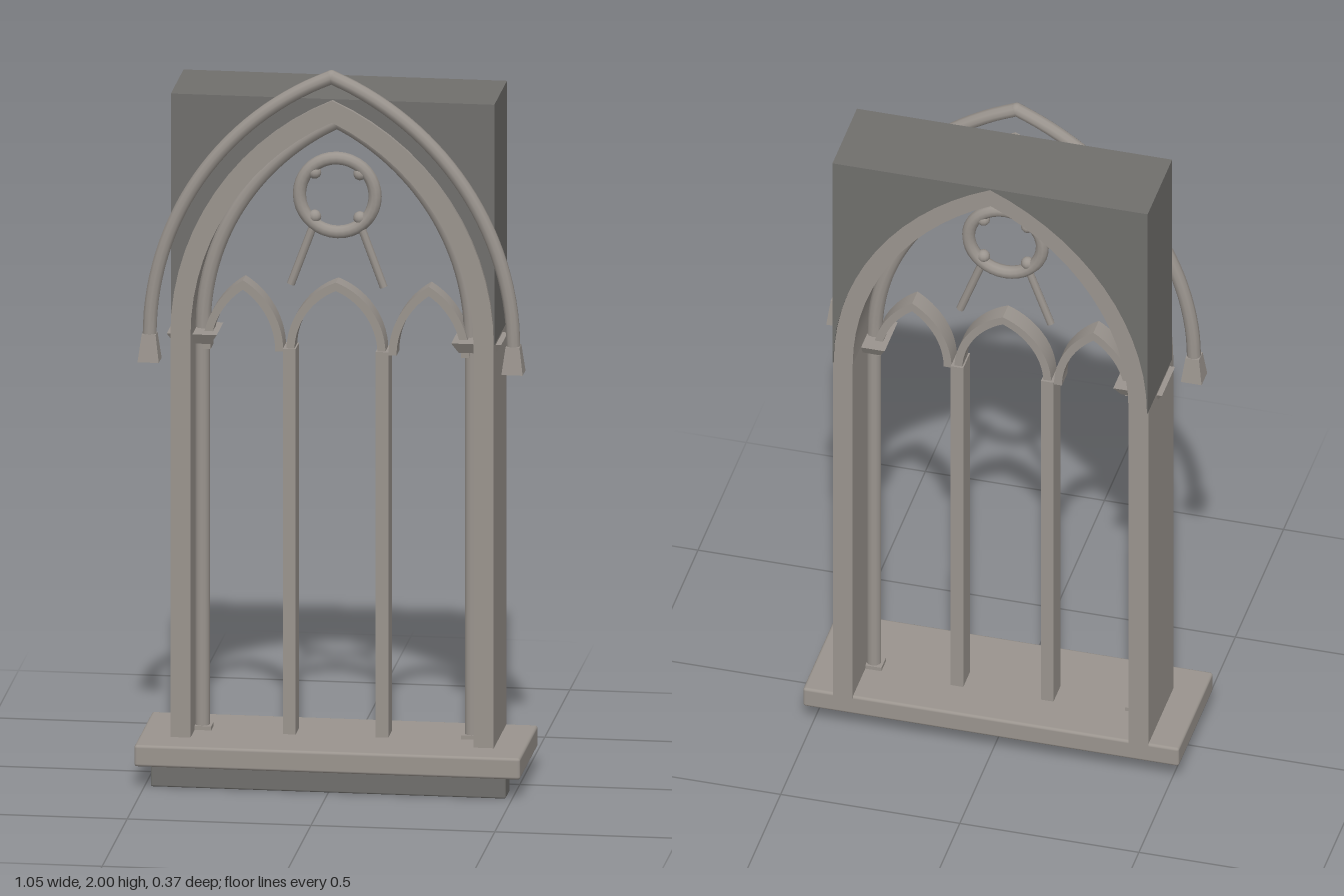
import * as THREE from 'three';
import { toCreasedNormals } from 'three/addons/utils/BufferGeometryUtils.js';
import { RoundedBoxGeometry } from 'three/addons/geometries/RoundedBoxGeometry.js';

const SPRING = 1.24;   // height where the main arch begins
const MID_Z = -0.026;  // plane of the tracery and shafts

const stone = new THREE.MeshStandardMaterial({ color: 0x9a948e });
const darkStone = new THREE.MeshStandardMaterial({ color: 0x706f6c });

// Pointed arch: two arcs of radius r, centres offset by c across the axis.
// Runs from the right foot over the apex to the left foot.
function archPoints(r, c, x0, y0, n = 14) {
  const end = Math.acos(c / r);
  const half = [];
  for (let i = 0; i <= n; i++) {
    const a = (end * i) / n;
    half.push([r * Math.cos(a) - c, r * Math.sin(a)]);
  }
  const left = half.slice(0, -1).reverse().map(([x, y]) => [-x, y]);
  return half.concat(left).map(([x, y]) => new THREE.Vector2(x0 + x, y0 + y));
}

function extrude(points, z0, z1) {
  const geo = new THREE.ExtrudeGeometry(new THREE.Shape(points), { depth: z1 - z0, bevelEnabled: false });
  geo.translate(0, 0, z0);
  return toCreasedNormals(geo, 0.4);
}

// Concentric arched band of the given thickness
function archBand(r, c, thick, x0, y0, z0, z1) {
  const outer = archPoints(r, c, x0, y0);
  const inner = archPoints(r - thick, c, x0, y0).reverse();
  return extrude(outer.concat(inner), z0, z1);
}

export function createModel() {
  const group = new THREE.Group();
  const add = (name, geo, x = 0, y = 0, z = 0, mat = stone) => {
    const mesh = new THREE.Mesh(geo, mat);
    mesh.name = name;
    mesh.position.set(x, y, z);
    group.add(mesh);
    return mesh;
  };
  const box = (w, h, d) => new THREE.BoxGeometry(w, h, d);

  // Round moulding following a pointed arch, one tube per side
  const archRoll = (name, r, c, y0, z, radius) => {
    const pts = archPoints(r, c, 0, y0).map((p) => new THREE.Vector3(p.x, p.y, z));
    const mid = (pts.length - 1) / 2;
    [pts.slice(0, mid + 1), pts.slice(mid)].forEach((side) =>
      add(name, new THREE.TubeGeometry(new THREE.CatmullRomCurve3(side), 28, radius, 10)));
    add(name + 'Apex', new THREE.SphereGeometry(radius, 12, 8), pts[mid].x, pts[mid].y, z);
  };

  // Sill and the drip course beneath it
  add('sill', new RoundedBoxGeometry(1.05, 0.06, 0.36, 2, 0.008), 0, 0.09, 0);
  add('sillDrip', new RoundedBoxGeometry(0.966, 0.066, 0.084, 2, 0.005), 0, 0.033, 0.114, darkStone);

  // Wall above the springing, cut out by the arch
  const V = (x, y) => new THREE.Vector2(x, y);
  const opening = archPoints(0.728, 0.29, 0, SPRING);
  add('spandrelWall',
    extrude([...opening, V(-0.44, SPRING), V(-0.44, 1.912), V(0.44, 1.912), V(0.44, SPRING)], -0.186, 0.068),
    0, 0, 0, darkStone);

  // Arch ring, its inner roll and the hood mould in front
  add('archRing', archBand(0.73, 0.29, 0.055, 0, SPRING, -0.18, 0.08));
  archRoll('archRoll', 0.655, 0.29, SPRING, MID_Z, 0.021);
  archRoll('hoodMould', 0.8, 0.305, SPRING, 0.09, 0.019);

  for (const s of [-1, 1]) {
    // Jamb, shaft and capital
    add('jamb', box(0.055, 1.14, 0.26), s * 0.4125, 0.67, -0.05);
    add('jambShaft', new THREE.CylinderGeometry(0.02, 0.02, 1.1, 12), s * 0.367, 0.66, MID_Z);
    add('shaftBase', box(0.048, 0.012, 0.048), s * 0.364, 0.125, MID_Z);
    const capital = new THREE.CylinderGeometry(0.068 * Math.SQRT2, 0.05 * Math.SQRT2, 0.03, 4, 1);
    capital.rotateY(Math.PI / 4);
    add('capital', toCreasedNormals(capital, 0.3), s * 0.387, 1.22, MID_Z);

    // Flared stop at the foot of the hood mould
    const stop = new THREE.CylinderGeometry(0.019 * Math.SQRT2, 0.029 * Math.SQRT2, 0.075, 4, 1);
    stop.rotateY(Math.PI / 4);
    add('hoodStop', toCreasedNormals(stop, 0.3), s * 0.495, 1.21, 0.09);

    // Mullion and side light head
    add('mullion', box(0.035, 1.09, 0.07), s * 0.126, 0.65, MID_Z);
    add('sideLightArch', archBand(0.228, 0.118, 0.022, s * 0.253, 1.185, MID_Z - 0.028, MID_Z + 0.028));

    // Strut between the oculus and the lights
    const strut = add('oculusStrut', new THREE.CylinderGeometry(0.011, 0.011, 0.18, 8), s * 0.095, 1.452, MID_Z);
    strut.rotation.z = s * 0.355;
  }
  add('centreLightArch', archBand(0.208, 0.073, 0.022, 0, 1.188, MID_Z - 0.028, MID_Z + 0.028));

  // Oculus ring with four cusps
  add('oculusRing', new THREE.TorusGeometry(0.103, 0.018, 10, 36), 0, 1.62, MID_Z);
  for (let i = 0; i < 4; i++) {
    const a = Math.PI / 4 + (i * Math.PI) / 2;
    add('oculusCusp', new THREE.SphereGeometry(0.018, 12, 8),
      0.087 * Math.cos(a), 1.62 + 0.087 * Math.sin(a), MID_Z);
  }
  return group;
}
